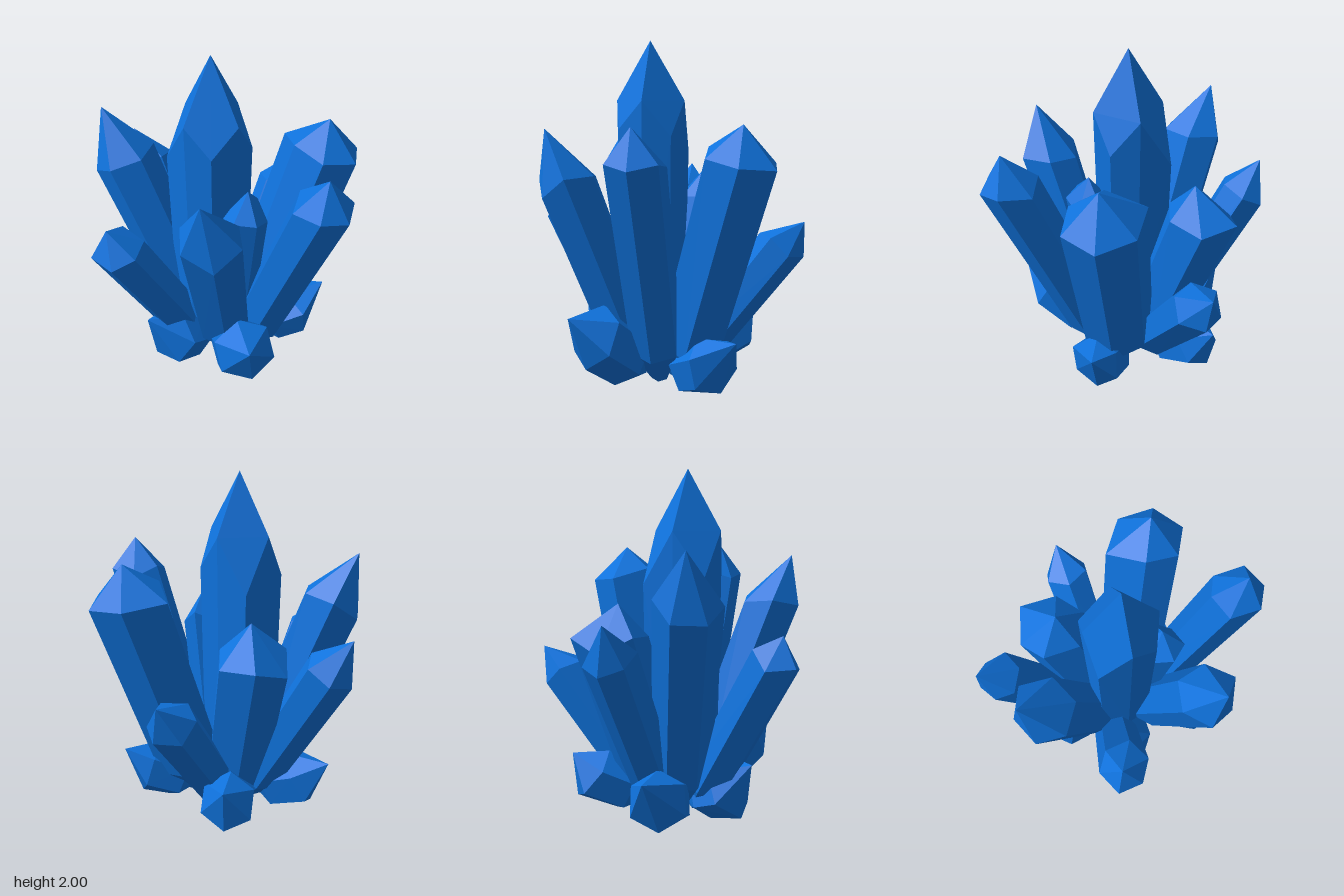
import * as THREE from 'three';
import { ConvexGeometry } from 'three/addons/geometries/ConvexGeometry.js';

const material = new THREE.MeshStandardMaterial({ color: 0x0f72dc, flatShading: true });

// Small seeded generator, returns values in -1..1
function seeded(seed) {
  let s = seed * 7919 + 17;
  return () => {
    s = (s * 16807) % 2147483647;
    return (s / 2147483647) * 2 - 1;
  };
}

// A faceted prism: narrow foot, straight shaft up to the shoulder, pointed tip.
// level (0..1) turns the shoulder from square with the axis towards horizontal.
// corners lists [radius scale, shift along the axis] for each shoulder corner.
function crystal(name, { foot, shoulder, tip, r, phase = 0, bend = 0.16, level = 0, jitter = 0.05, seed = 1, taper = 0.91, corners }) {
  const rand = seeded(seed);
  const ring = corners ?? Array.from({ length: 6 }, () => [1, rand() * jitter]);
  const a = new THREE.Vector3(...foot);
  const b = new THREE.Vector3(...shoulder);
  const axis = b.clone().sub(a).normalize();
  const u = new THREE.Vector3().crossVectors(axis, new THREE.Vector3(0, 0, 1)).normalize();
  const v = new THREE.Vector3().crossVectors(u, axis);
  const normal = axis.clone().lerp(new THREE.Vector3(0, 1, 0), level).normalize();
  const points = [new THREE.Vector3(...tip)];

  for (const [t, scale] of [[0, 0.33], [bend, taper], [1, 1]]) {
    const centre = a.clone().lerp(b, t);
    ring.forEach(([size, shift], i) => {
      const ang = phase + (i / ring.length) * Math.PI * 2;
      const p = u.clone().multiplyScalar(Math.cos(ang)).addScaledVector(v, Math.sin(ang)).multiplyScalar(r * scale * size);
      if (t === 1) p.addScaledVector(axis, shift - p.dot(normal) / axis.dot(normal));
      p.add(centre);
      p.y = Math.max(p.y, 0.005);
      points.push(p);
    });
  }
  const mesh = new THREE.Mesh(new ConvexGeometry(points), material);
  mesh.name = name;
  return mesh;
}

export function createModel() {
  const group = new THREE.Group();
  group.name = 'crystalCluster';
  const add = (name, spec) => group.add(crystal(name, spec));

  // Upright centre crystal: squarish shaft under a four-sided point
  add('centreCrystal', {
    foot: [-0.03, 0.05, 0.09], shoulder: [-0.03, 1.66, 0.09], tip: [-0.03, 2, 0.09], r: 0.203, taper: 0.93,
    corners: [[1, 0], [1.04, -0.16], [1, 0], [1.23, -0.26], [1, 0], [1.32, -0.3], [1, 0], [1.1, -0.2]],
  });

  // Tall leaning crystals around it
  add('rightCrystal', {
    foot: [0.17, 0.06, -0.015], shoulder: [0.68, 1.36, -0.015], tip: [0.71, 1.54, 0],
    r: 0.16, level: 0.9, seed: 2, jitter: 0.03, taper: 0.94,
  });
  add('backRightCrystal', {
    foot: [0.11, 0.06, -0.12], shoulder: [0.31, 1.35, -0.48], tip: [0.32, 1.54, -0.5],
    r: 0.215, phase: -0.09, level: 0.4, taper: 0.94,
    corners: [[1, 0], [0.95, 0], [0.95, 0.03], [1.25, -0.02], [1.05, 0], [1.05, 0]],
  });
  add('frontRightCrystal', {
    foot: [0.12, 0.12, 0.12], shoulder: [0.35, 1.23, 0.47], tip: [0.39, 1.51, 0.58],
    r: 0.18, phase: 0.7, level: 0.4,
    corners: [[1, -0.06], [1, 0.02], [1, 0.02], [0.95, -0.03], [0.95, 0], [1, 0.03]],
  });
  add('frontLeftCrystal', {
    foot: [-0.13, 0.08, 0.09], shoulder: [-0.53, 1.3, 0.32], tip: [-0.65, 1.58, 0.36],
    r: 0.185, phase: 0.1, seed: 5, jitter: 0.03,
  });
  add('backLeftCrystal', {
    foot: [-0.1, 0.06, -0.05], shoulder: [-0.37, 1.07, -0.23], tip: [-0.33, 1.26, -0.2],
    r: 0.21, phase: -0.15, level: 0.4, seed: 6,
  });

  // Medium and slender crystals
  add('leftCrystal', {
    foot: [-0.18, 0.06, 0], shoulder: [-0.73, 1.03, -0.02], tip: [-0.84, 1.22, 0],
    r: 0.145, corners: [[1, 0], [1, 0], [0.88, 0], [1, 0], [1.02, 0], [1.05, 0]],
  });
  add('frontCrystal', {
    foot: [-0.11, 0.06, 0.18], shoulder: [-0.185, 0.98, 0.67], tip: [-0.21, 1.125, 0.72],
    r: 0.145, level: 0.25, seed: 8, jitter: 0.04, taper: 0.97,
  });
  add('backCrystal', {
    foot: [-0.08, 0.06, -0.12], shoulder: [-0.17, 0.81, -0.68], tip: [-0.19, 0.95, -0.81],
    r: 0.145, phase: Math.PI / 6, seed: 9, jitter: 0.03,
  });
  add('slenderCrystal', {
    foot: [0.08, 0.1, 0.03], shoulder: [0.22, 1.12, 0.08], tip: [0.22, 1.27, 0.06],
    r: 0.13, phase: 0.3, level: 0.4, seed: 10,
  });

  // Stubby crystals around the foot
  const stubs = [
    ['rightStub', [0.16, 0.1, 0.1], [0.43, 0.36, 0.29], [0.57, 0.5, 0.4], 0.185],
    ['backRightStub', [0.14, 0.09, -0.14], [0.32, 0.21, -0.34], [0.39, 0.37, -0.49], 0.165],
    ['backLeftStub', [-0.14, 0.09, -0.14], [-0.31, 0.23, -0.38], [-0.37, 0.36, -0.5], 0.165],
    ['leftStub', [-0.22, 0.1, 0.06], [-0.48, 0.21, 0.12], [-0.67, 0.365, 0.12], 0.17],
    ['frontStub', [-0.07, 0.1, 0.14], [-0.09, 0.2, 0.4], [-0.15, 0.37, 0.54], 0.185],
  ];
  stubs.forEach(([name, foot, shoulder, tip, r], i) => add(name, {
    foot, shoulder, tip, r, phase: 0.25 + i * 0.2, bend: 0.35, taper: 0.95, seed: 20 + i,
  }));

  return group;
}
